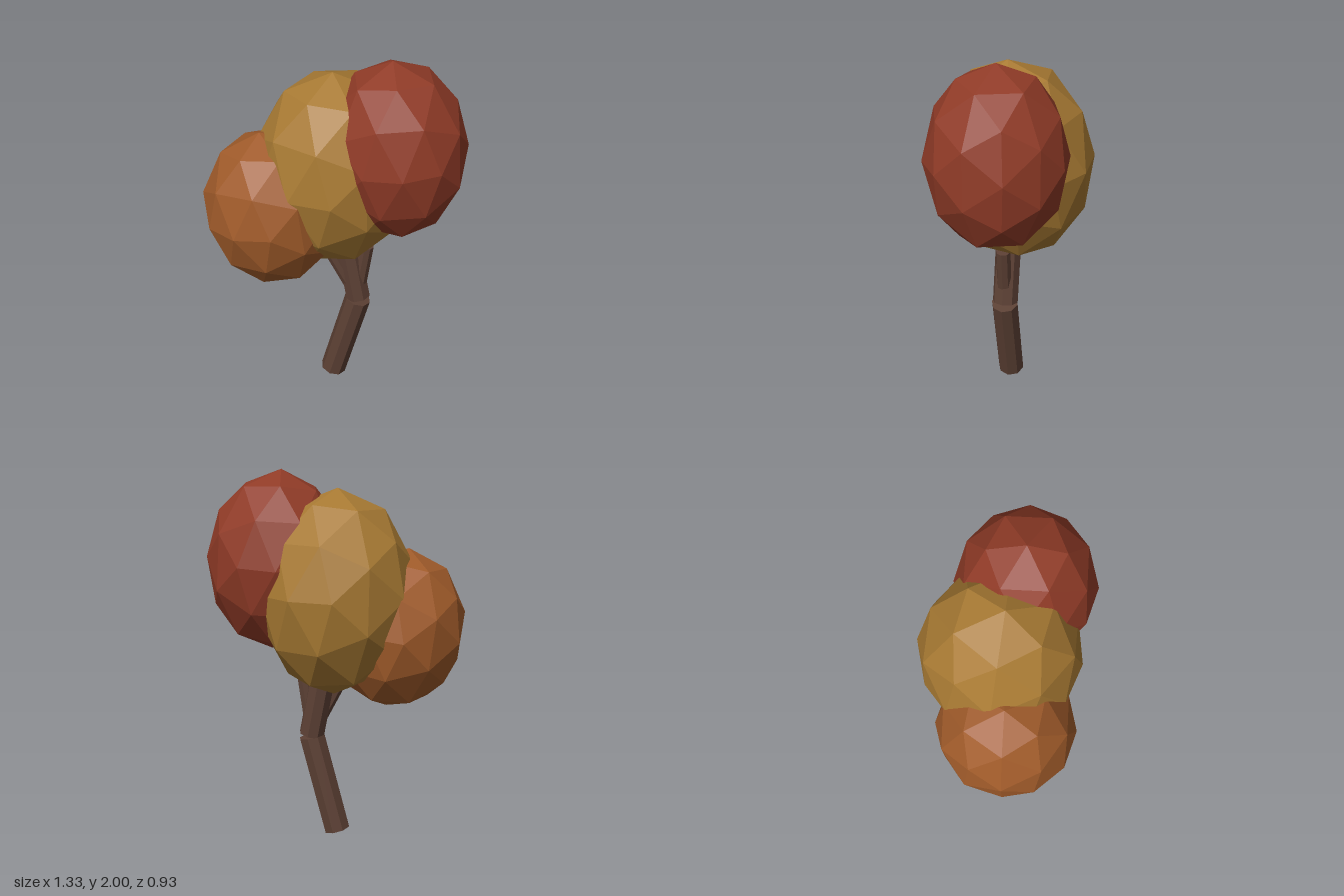
import * as THREE from 'three';

const mat = (color) => new THREE.MeshStandardMaterial({ color, flatShading: true });

export function createModel() {
  const tree = new THREE.Group();
  tree.name = 'autumnTree';

  // Straight log between two points
  const bark = mat(0x5c4034);
  function log(name, from, to, rBottom, rTop) {
    const a = new THREE.Vector3(...from), b = new THREE.Vector3(...to);
    const dir = b.clone().sub(a);
    const mesh = new THREE.Mesh(new THREE.CylinderGeometry(rTop, rBottom, dir.length(), 8), bark);
    mesh.name = name;
    mesh.position.copy(a).add(b).multiplyScalar(0.5);
    mesh.quaternion.setFromUnitVectors(new THREE.Vector3(0, 1, 0), dir.normalize());
    tree.add(mesh);
  }
  log('lowerTrunk', [-0.025, 0.022, -0.042], [0.12, 0.555, -0.042], 0.073, 0.073);
  log('upperTrunk', [0.12, 0.567, -0.045], [0.04, 0.98, -0.045], 0.07, 0.07);
  log('leftBranch', [0.12, 0.6, -0.042], [0.165, 0.91, -0.045], 0.04, 0.04);
  log('rightBranch', [0.09, 0.63, -0.03], [-0.07, 0.95, 0.01], 0.036, 0.036);

  // Faceted egg-shaped leaf clumps: turned about y first, then leaned
  function foliage(name, color, position, radii, lean, turn) {
    const mesh = new THREE.Mesh(new THREE.IcosahedronGeometry(1, 1), mat(color));
    mesh.geometry.rotateY(turn);
    mesh.scale.set(...radii);
    mesh.rotation.set(lean[0], 0, lean[1], 'ZXY');
    mesh.position.set(...position);
    mesh.name = name;
    tree.add(mesh);
  }
  foliage('middleFoliage', 0xa87a33, [-0.02, 1.365, -0.05], [0.42, 0.545, 0.425], [0.06, 0], 1.29);
  foliage('leftFoliage', 0x903b27, [0.31, 1.52, -0.05], [0.37, 0.48, 0.365], [0.02, 0.06], -1.22);
  foliage('rightFoliage', 0xa05b2a, [-0.315, 1.16, 0.11], [0.365, 0.435, 0.365], [0.04, 0.12], 1.36);

  return tree;
}
